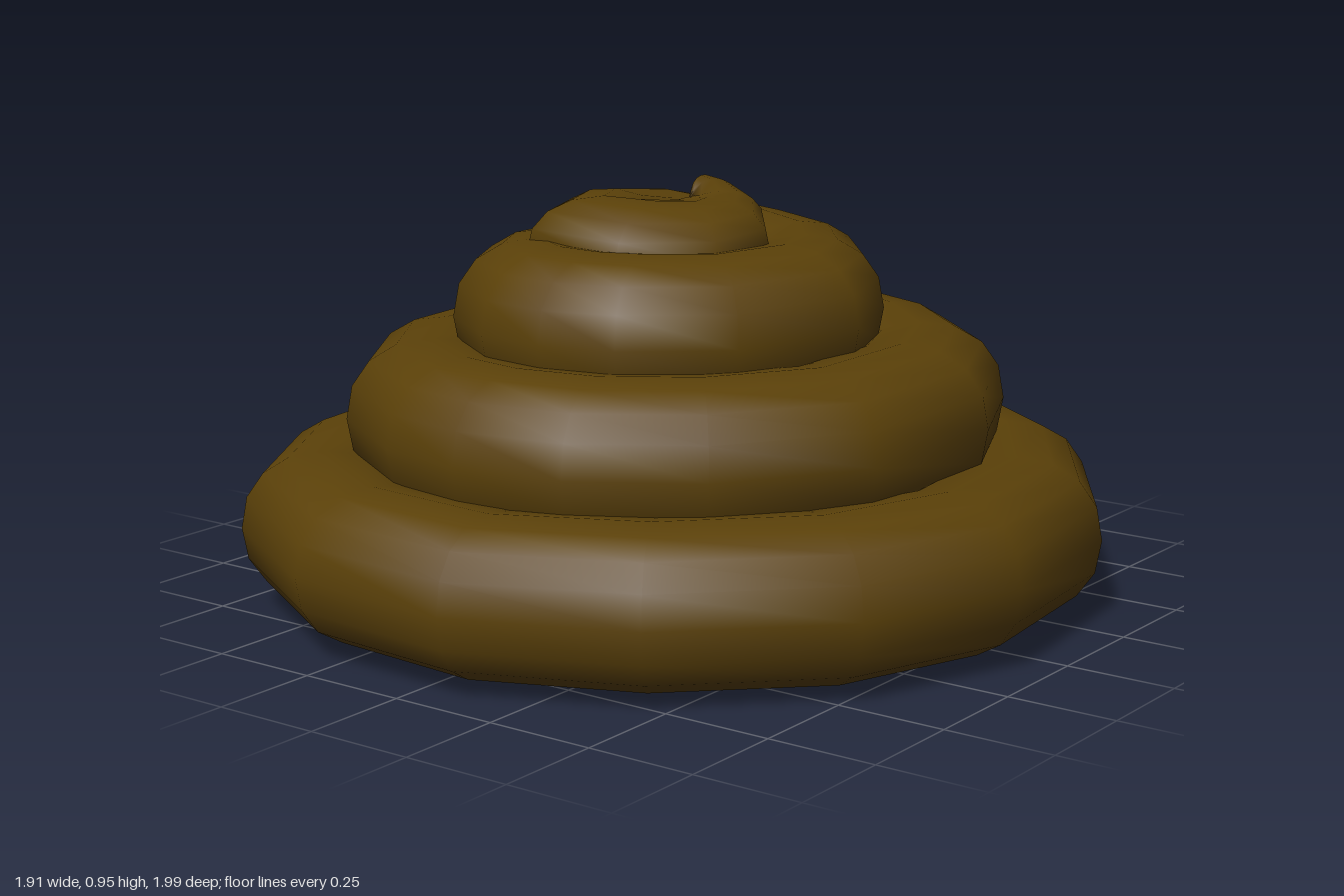
import * as THREE from 'three';

const SIDES = 16;

// Coil stations: [angle in degrees, outer radius, centre height, tube radius].
// Angle 0 is at -x and grows towards the front; each turn ramps up at the back.
const STATIONS = [
  [-72, 0.82, 0.25, 0.07], [-60, 0.9, 0.215, 0.13], [-42, 0.945, 0.19, 0.168],
  [0, 0.96, 0.19, 0.17], [47, 1.012, 0.19, 0.17], [72, 1.012, 0.19, 0.172],
  [96, 0.997, 0.188, 0.173], [121, 0.962, 0.188, 0.175], [226, 0.955, 0.182, 0.18],
  [276, 1.006, 0.18, 0.18], [300, 0.976, 0.28, 0.18], [323, 0.872, 0.375, 0.178],
  [351, 0.79, 0.42, 0.178], [446, 0.757, 0.428, 0.18], [490, 0.723, 0.43, 0.18],
  [555, 0.711, 0.432, 0.18], [606, 0.752, 0.437, 0.18], [632, 0.75, 0.453, 0.18],
  [652, 0.735, 0.49, 0.18], [677, 0.65, 0.57, 0.178], [709, 0.54, 0.635, 0.178],
  [787, 0.52, 0.647, 0.178], [828, 0.484, 0.65, 0.177], [904, 0.446, 0.655, 0.17],
  [934, 0.446, 0.66, 0.167], [992, 0.49, 0.68, 0.16], [1037, 0.424, 0.75, 0.14],
  [1080, 0.375, 0.785, 0.125], [1122, 0.36, 0.79, 0.125], [1176, 0.305, 0.795, 0.123],
  [1222, 0.245, 0.795, 0.117], [1271, 0.205, 0.805, 0.108], [1318, 0.19, 0.84, 0.078],
  [1342, 0.165, 0.882, 0.058], [1362, 0.145, 0.903, 0.045], [1374, 0.115, 0.908, 0.02],
];

// Corners of the lower turns; the start and the crown use the stations themselves
const CORNERS = [
  -15, 0, 23, 47, 72, 96, 121, 148, 173, 200, 226, 252, 276, 300, 323, 351, 379, 405, 429,
  446, 466, 490, 520, 555, 581, 606, 632, 652, 677, 709, 736, 760, 787, 807, 828, 860, 904,
  934, 963, 992, 1008,
];

// Linear blend between the stations
function stationAt(angle) {
  let i = 0;
  while (i < STATIONS.length - 2 && STATIONS[i + 1][0] < angle) i++;
  const a = STATIONS[i], b = STATIONS[i + 1];
  const t = (angle - a[0]) / (b[0] - a[0]);
  return a.map((v, k) => THREE.MathUtils.lerp(v, b[k], t));
}

// Slightly squared circle, so the stacked turns sit flat on each other
const squared = (v) => Math.sign(v) * Math.abs(v) ** 0.9;

function coilGeometry() {
  const positions = [], index = [];
  const rings = [
    ...STATIONS.filter((s) => s[0] < -30),
    ...CORNERS.map(stationAt),
    ...STATIONS.filter((s) => s[0] > 1030),
  ];
  const addPoint = (angle, radius, y) => {
    const a = THREE.MathUtils.degToRad(angle);
    positions.push(-radius * Math.cos(a), y, radius * Math.sin(a));
    return positions.length / 3 - 1;
  };
  // The tube is a little wider than tall, most of all in the crown
  const halfWidth = ([angle, , , r]) => r * (1.1 + 0.3 * THREE.MathUtils.smoothstep(angle, 980, 1090));
  const addRing = (ring) => {
    const [angle, outer, y, r] = ring;
    const w = halfWidth(ring);
    const first = positions.length / 3;
    for (let j = 0; j < SIDES; j++) {
      const t = (j / SIDES) * Math.PI * 2;
      addPoint(angle, outer - w + w * squared(Math.cos(t)), y + r * squared(Math.sin(t)));
    }
    return first;
  };

  // Tube wall
  rings.forEach(addRing);
  for (let i = 0; i < rings.length - 1; i++) {
    for (let j = 0; j < SIDES; j++) {
      const a = i * SIDES + j, b = i * SIDES + ((j + 1) % SIDES);
      index.push(a, a + SIDES, b, b, a + SIDES, b + SIDES);
    }
  }

  // Flat caps at both ends
  [rings[0], rings[rings.length - 1]].forEach((ring, end) => {
    const first = addRing(ring);
    const centre = addPoint(ring[0], ring[1] - halfWidth(ring), ring[2]);
    for (let j = 0; j < SIDES; j++) {
      const a = first + j, b = first + ((j + 1) % SIDES);
      index.push(centre, end ? b : a, end ? a : b);
    }
  });

  const geometry = new THREE.BufferGeometry();
  geometry.setAttribute('position', new THREE.Float32BufferAttribute(positions, 3));
  geometry.setIndex(index);
  geometry.computeVertexNormals();
  return geometry;
}

export function createModel() {
  const model = new THREE.Group();
  model.name = 'coiledPile';
  const material = new THREE.MeshStandardMaterial({ color: 0x5b4109 });
  const addPart = (name, geometry) => {
    const mesh = new THREE.Mesh(geometry, material);
    mesh.name = name;
    model.add(mesh);
    return mesh;
  };
  addPart('coil', coilGeometry());

  // Filling that closes the middle of the crown
  const core = addPart('crownCore', new THREE.SphereGeometry(1, 20, 12));
  core.scale.set(0.19, 0.14, 0.2);
  core.position.set(-0.05, 0.75, -0.05);
  return model;
}
